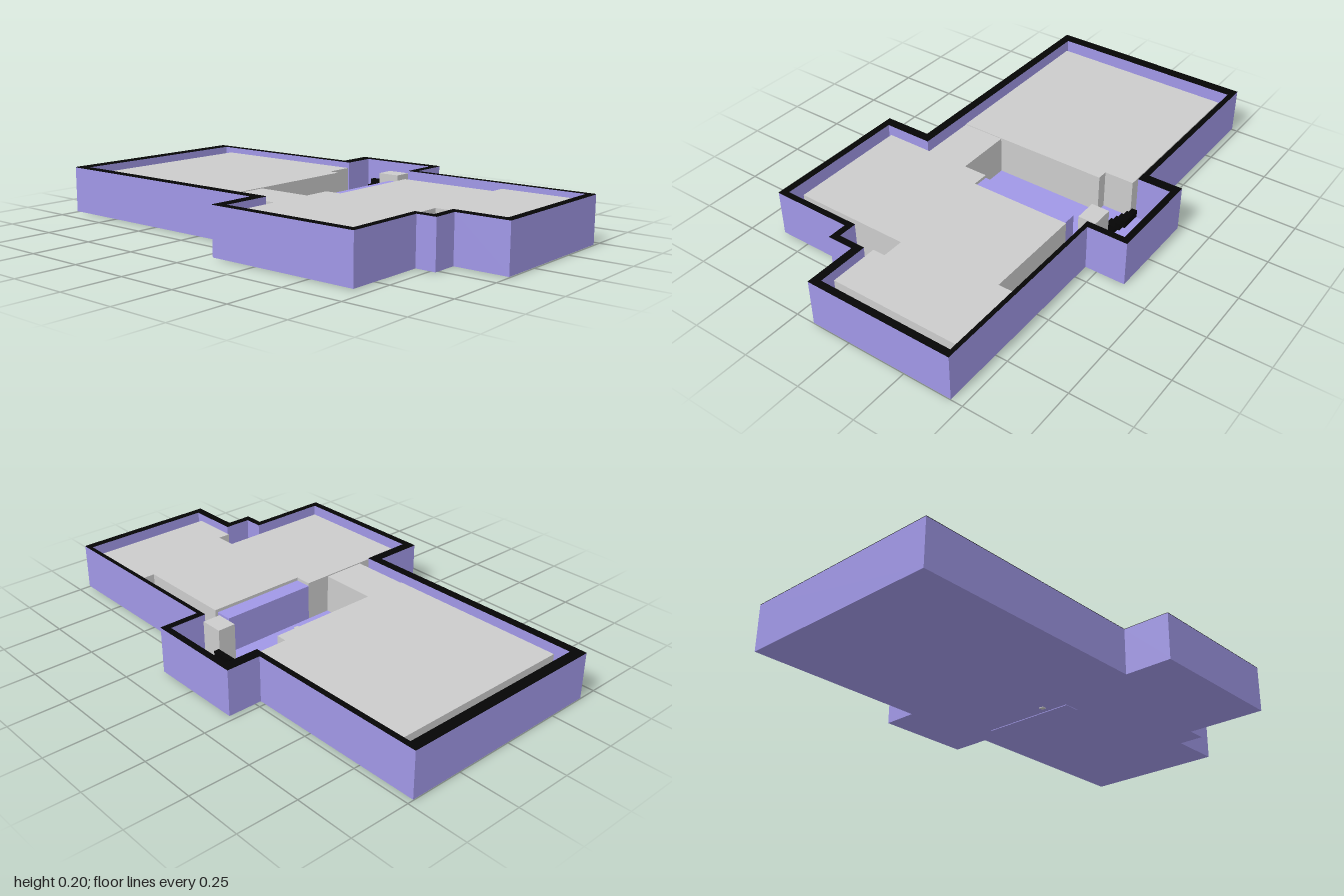
import * as THREE from 'three';

const purple = new THREE.MeshStandardMaterial({ color: 0xa097e6 });
const black = new THREE.MeshStandardMaterial({ color: 0x050505 });
const grey = new THREE.MeshStandardMaterial({ color: 0xcccccc });

// Plan corners are [x, z]
const OUTER = [
  [-1, -0.476], [-0.228, -0.476], [-0.228, -0.622], [0.182, -0.622], [0.182, -0.452], [1, -0.452], [1, 0.168],
  [0.778, 0.168], [0.778, 0.278], [0.695, 0.278], [0.695, 0.622], [0.05, 0.622], [0.05, 0.418], [-1, 0.418],
];
const INNER = [
  [-0.955, -0.453], [-0.185, -0.453], [-0.185, -0.595], [0.155, -0.595], [0.155, -0.435], [0.97, -0.435], [0.97, 0.135],
  [0.75, 0.135], [0.75, 0.252], [0.67, 0.252], [0.67, 0.593], [0.09, 0.593], [0.09, 0.382], [-0.955, 0.382],
];
const LEFT_BLOCK = [
  [-0.905, -0.435], [-0.175, -0.435], [-0.175, -0.31], [-0.13, -0.31], [-0.13, 0.355], [-0.905, 0.355],
];
const RIGHT_BLOCK = [
  [0.117, 0.065], [0.187, 0.065], [0.187, -0.362], [0.61, -0.362], [0.61, -0.427], [0.925, -0.427], [0.925, 0.118],
  [0.72, 0.118], [0.72, 0.065], [0.63, 0.065], [0.63, 0.557], [0.117, 0.557],
];

const toVectors = (plan) => plan.map(([x, z]) => new THREE.Vector2(x, -z));

export function createModel() {
  const model = new THREE.Group();
  model.name = 'floorPlan';

  function add(name, geometry, material) {
    const mesh = new THREE.Mesh(geometry, material);
    mesh.name = name;
    model.add(mesh);
    return mesh;
  }

  // Raise a plan outline from y0 to y1; the opening runs the other way round so its walls face inwards
  function raise(name, plan, y0, y1, material, hole) {
    const shape = new THREE.Shape(toVectors(plan).reverse());
    if (hole) shape.holes.push(new THREE.Path(toVectors(hole)));
    const geometry = new THREE.ExtrudeGeometry(shape, { depth: y1 - y0, bevelEnabled: false });
    geometry.rotateX(-Math.PI / 2).translate(0, y0, 0);
    add(name, geometry, material);
  }

  function box(name, x0, x1, y0, y1, z0, z1, material) {
    const mesh = add(name, new THREE.BoxGeometry(x1 - x0, y1 - y0, z1 - z0), material);
    mesh.position.set((x0 + x1) / 2, (y0 + y1) / 2, (z0 + z1) / 2);
  }

  // Shell: floor, walls and dark wall tops
  raise('floor', OUTER, 0.003, 0.01, purple);
  raise('walls', OUTER, 0.01, 0.196, purple, INNER);
  raise('wallTops', OUTER, 0.196, 0.198, black, INNER);

  // Raised room platforms, with a landing joining them at the front
  raise('leftPlatform', LEFT_BLOCK, 0.005, 0.175, grey);
  raise('rightPlatform', RIGHT_BLOCK, 0.005, 0.175, grey);
  box('landing', -0.13, 0.115, 0.005, 0.172, 0.17, 0.355, grey);

  // Hall fittings
  box('partition', 0.117, 0.187, 0, 0.162, -0.35, 0.065, purple);
  box('cabinet', 0.038, 0.134, 0.005, 0.182, -0.458, -0.382, grey);
  box('floorPeg', 0.07, 0.09, 0, 0.018, -0.04, -0.02, grey);

  // Twin flight of open steps climbing towards the back
  for (const x of [-0.087, -0.041]) {
    for (let i = 0; i < 5; i++) {
      const z = -0.4 - i * 0.022;
      const y = 0.012 + i * 0.022;
      box('step', x, x + 0.043, y, y + 0.03, z - 0.022, z, black);
    }
  }
  return model;
}
